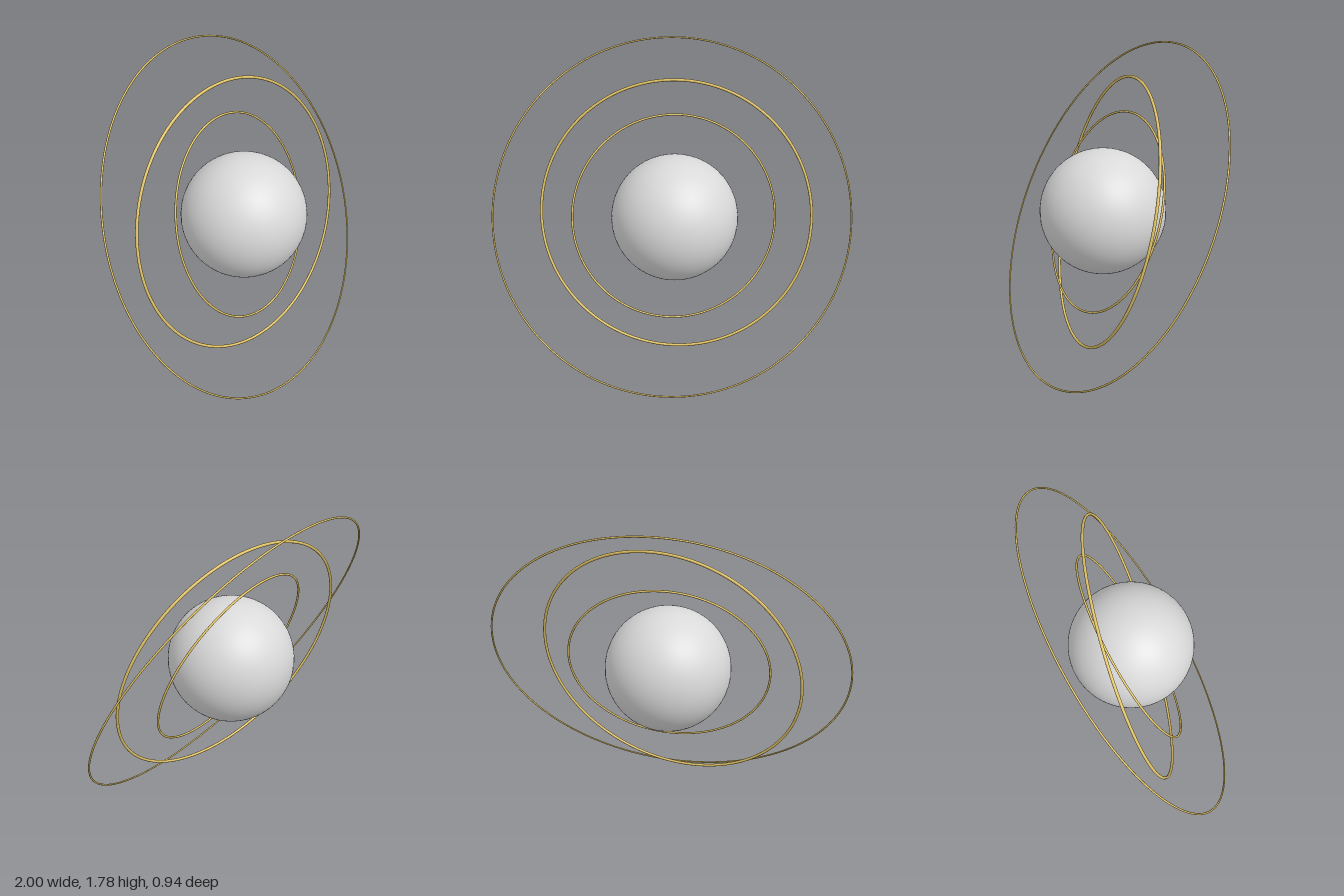
import * as THREE from 'three';

const CENTRE_Y = 0.888;

export function createModel() {
  const model = new THREE.Group();
  const grey = new THREE.MeshStandardMaterial({ color: 0xd9d9d9 });
  grey.name = 'pale grey';
  const gold = new THREE.MeshStandardMaterial({ color: 0xe0c265 });
  gold.name = 'pale gold';

  // Central globe
  const globe = new THREE.Mesh(new THREE.SphereGeometry(0.35, 64, 48), grey);
  globe.name = 'globe';
  globe.position.y = CENTRE_Y;
  model.add(globe);

  // Thin orbit rings, each turned so that its axis follows the given normal
  const addRing = (name, radius, tube, normal) => {
    const ring = new THREE.Mesh(new THREE.TorusGeometry(radius, tube, 12, 160), gold);
    ring.name = name;
    ring.position.y = CENTRE_Y;
    ring.quaternion.setFromUnitVectors(
      new THREE.Vector3(0, 0, 1),
      new THREE.Vector3(...normal).normalize()
    );
    model.add(ring);
  };
  addRing('innerRing', 0.564, 0.006, [0.092, 0.358, 0.93]);
  addRing('middleRing', 0.751, 0.008, [-0.086, 0.259, 0.962]);
  addRing('outerRing', 0.997, 0.005, [0.068, 0.462, 0.884]);

  return model;
}
